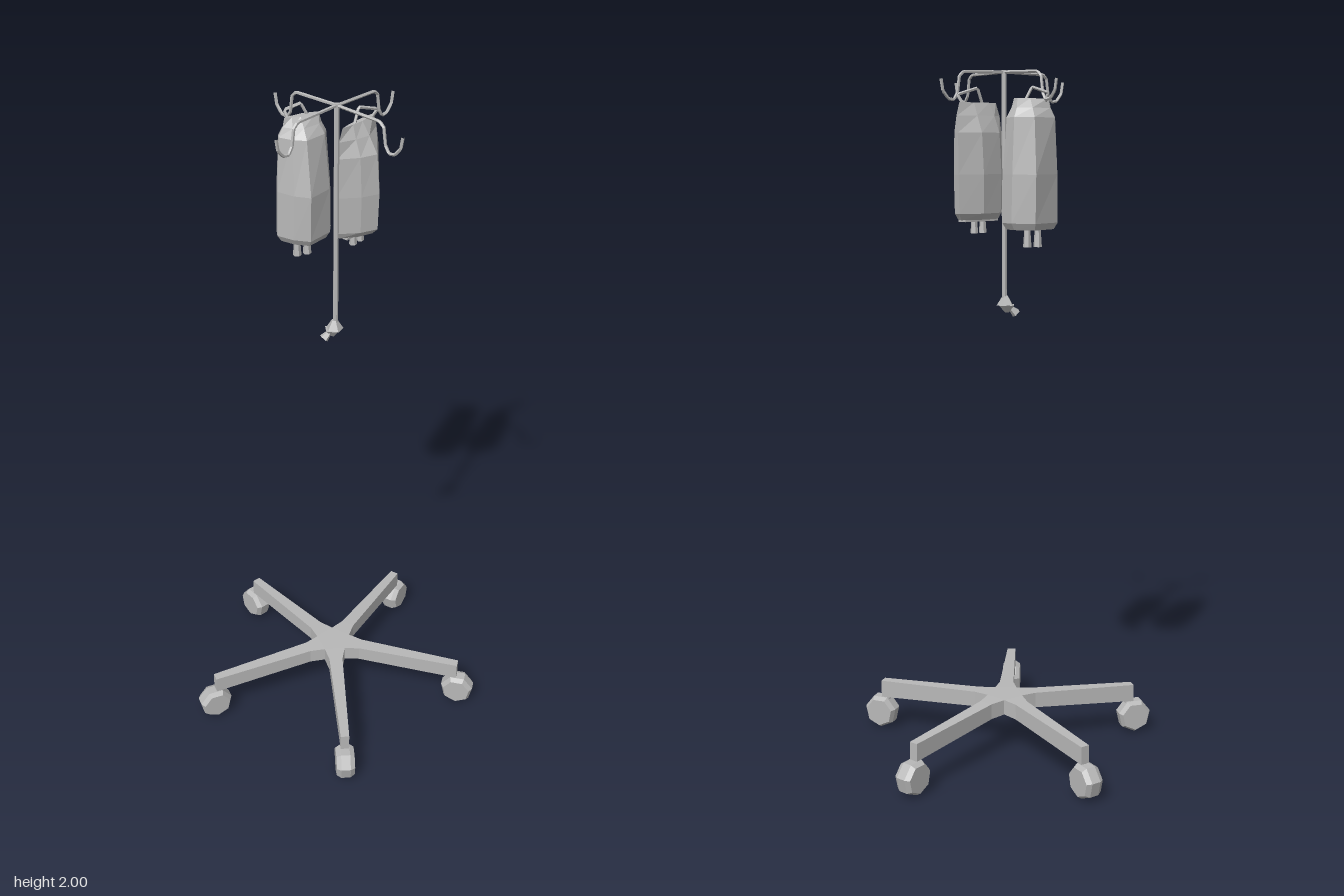
import * as THREE from 'three';

const metal = new THREE.MeshStandardMaterial({ color: 0xb8b8b8 });
metal.name = 'plain grey';
metal.flatShading = true;

const CX = 0.045, CZ = -0.003; // pole axis
const LEG_ANGLES = [178, 106, 34, -38, -110].map(THREE.MathUtils.degToRad);
const V = (x, y, z) => new THREE.Vector3(x, y, z);

function add(parent, name, geometry, x = 0, y = 0, z = 0) {
  const mesh = new THREE.Mesh(geometry, metal);
  mesh.name = name;
  mesh.position.set(x, y, z);
  parent.add(mesh);
  return mesh;
}

// Thin wire with straight segments through the given points
function wire(points, radius, sides = 5) {
  const path = new THREE.CurvePath();
  for (let i = 1; i < points.length; i++) path.add(new THREE.LineCurve3(points[i - 1], points[i]));
  return new THREE.TubeGeometry(path, points.length * 5, radius, sides);
}

// Five-legged star base, thinner and lower towards the tips
function starBase() {
  const pts = [];
  const at = (a, r, w) => new THREE.Vector2(
    Math.cos(a) * r - Math.sin(a) * w, Math.sin(a) * r + Math.cos(a) * w);
  for (const a of [...LEG_ANGLES].reverse()) {
    pts.push(at(a - Math.PI / 5, 0.055, 0), at(a, 0.09, -0.021), at(a, 0.41, -0.013),
      at(a, 0.41, 0.013), at(a, 0.09, 0.021));
  }
  const g = new THREE.ExtrudeGeometry(new THREE.Shape(pts), { depth: 1, bevelEnabled: false });
  g.rotateX(-Math.PI / 2);
  const p = g.attributes.position;
  for (let i = 0; i < p.count; i++) {
    const t = Math.hypot(p.getX(i), p.getZ(i)) / 0.41;
    p.setY(i, p.getY(i) > 0.5 ? 0.17 - 0.017 * t : 0.125 - 0.025 * t);
  }
  g.computeVertexNormals();
  return g;
}

// Chunky seven-sided caster wheel lying on the z axis
function wheel() {
  const profile = [[0, -0.028], [0.043, -0.028], [0.052, -0.014], [0.052, 0.014], [0.043, 0.028], [0, 0.028]];
  const g = new THREE.LatheGeometry(profile.map(([r, h]) => new THREE.Vector2(r, h)), 7);
  return g.rotateX(Math.PI / 2);
}

// Bag: a footprint [x, z] lofted through levels [y, scale along, scale across, dx, dz]
function bag(footprint, angle, levels) {
  const n = footprint.length, pos = [];
  const c = Math.cos(angle), s = Math.sin(angle);
  const rings = levels.map(([y, su, sv, dx = 0, dz = 0]) => footprint.map(([x, z]) => {
    const u = (x * c - z * s) * su, v = (x * s + z * c) * sv;
    return V(u * c + v * s + dx, y, -u * s + v * c + dz);
  }));
  const tri = (...vs) => vs.forEach((v) => pos.push(v.x, v.y, v.z));
  for (let k = 0; k + 1 < rings.length; k++) {
    for (let i = 0; i < n; i++) {
      const j = (i + 1) % n, lo = rings[k], hi = rings[k + 1];
      tri(lo[i], lo[j], hi[j]);
      tri(lo[i], hi[j], hi[i]);
    }
  }
  const bottom = rings[0], top = rings[rings.length - 1];
  for (let i = 1; i + 1 < n; i++) {
    tri(bottom[0], bottom[i + 1], bottom[i]);
    tri(top[0], top[i], top[i + 1]);
  }
  const g = new THREE.BufferGeometry();
  g.setAttribute('position', new THREE.Float32BufferAttribute(pos, 3));
  g.computeVertexNormals();
  return g;
}

export function createModel() {
  const model = new THREE.Group();
  model.name = 'dripStand';

  // Rolling base
  add(model, 'starBase', starBase(), CX, 0, CZ);
  for (const a of LEG_ANGLES) {
    const caster = new THREE.Group();
    caster.name = 'caster';
    caster.position.set(CX, 0, CZ);
    caster.rotation.y = a;
    add(caster, 'casterStem', new THREE.CylinderGeometry(0.012, 0.016, 0.05, 6), 0.398, 0.09, 0);
    add(caster, 'casterWheel', wheel(), 0.414, 0.0525, 0);
    model.add(caster);
  }

  // Upper pole with its clamp collar and tightening knob
  add(model, 'pole', new THREE.CylinderGeometry(0.0075, 0.0075, 0.64, 8), CX, 1.68, CZ);
  add(model, 'collar', new THREE.CylinderGeometry(0.008, 0.025, 0.028, 5), CX - 0.003, 1.362, CZ);
  add(model, 'collarBase', new THREE.CylinderGeometry(0.025, 0.006, 0.022, 5), CX - 0.008, 1.338, CZ);
  const knob = add(model, 'knob', new THREE.CylinderGeometry(0.006, 0.014, 0.03, 5), 0.02, 1.334, CZ);
  knob.rotation.z = -0.8;

  // Four hooked arms
  const hook = [[0, 1.995], [0.142, 1.992], [0.156, 1.98], [0.163, 1.935], [0.175, 1.917],
    [0.194, 1.92], [0.212, 1.94], [0.218, 1.972]].map(([r, y]) => V(r, y, 0));
  for (let i = 0; i < 4; i++) {
    const arm = add(model, 'hookArm', wire(hook, 0.0045), CX, 0, CZ);
    arm.rotation.y = THREE.MathUtils.degToRad(22.5 + 90 * i);
  }

  // Rear bag
  const rear = new THREE.Group();
  rear.name = 'rearBag';
  rear.position.set(0.015, 0, -0.15);
  model.add(rear);
  add(rear, 'rearPouch', bag(
    [[0.01, -0.078], [-0.072, -0.02], [-0.08, 0.005], [-0.05, 0.05], [-0.012, 0.08], [0.06, 0.045], [0.078, 0.01], [0.065, -0.035]],
    0, [[1.572, 0.85, 0.8], [1.59, 1, 0.95], [1.72, 0.97, 1], [1.87, 0.86, 0.7, 0, -0.005],
      [1.895, 0.7, 0.42, 0, -0.005], [1.92, 0.62, 0.12, 0, -0.005]]));
  for (const x of [-0.024, 0.006]) {
    add(rear, 'rearPort', new THREE.CylinderGeometry(0.008, 0.012, 0.055, 6), x, 1.55, 0.01);
  }
  add(rear, 'rearStrap', wire([V(-0.035, 1.9, -0.005), V(-0.043, 1.935, -0.02), V(0, 1.95, -0.01), V(0.025, 1.9, -0.005)], 0.0045));

  // Side bag
  const side = new THREE.Group();
  side.name = 'sideBag';
  side.position.set(0.142, 0, -0.077);
  model.add(side);
  add(side, 'sidePouch', bag(
    [[0, -0.057], [-0.062, -0.015], [-0.08, 0.036], [-0.015, 0.057], [0.038, 0.057], [0.077, -0.03], [0.072, -0.061]],
    0.45, [[1.598, 0.84, 0.7], [1.615, 0.97, 0.95], [1.72, 1, 1], [1.83, 0.97, 0.85],
      [1.875, 0.9, 0.45], [1.91, 0.75, 0.12]]));
  add(side, 'sideSeam', new THREE.BoxGeometry(0.12, 0.006, 0.03).rotateY(0.45), 0, 1.595, 0);
  for (const d of [-1, 1]) {
    add(side, 'sidePort', new THREE.CylinderGeometry(0.008, 0.011, 0.04, 6), 0.014 * d, 1.58, -0.007 * d);
  }
  add(side, 'sideStrap', wire([V(-0.018, 1.9, 0.01), V(0, 1.948, 0), V(0.06, 1.93, -0.01), V(0.04, 1.895, -0.02)], 0.0045));

  return model;
}
